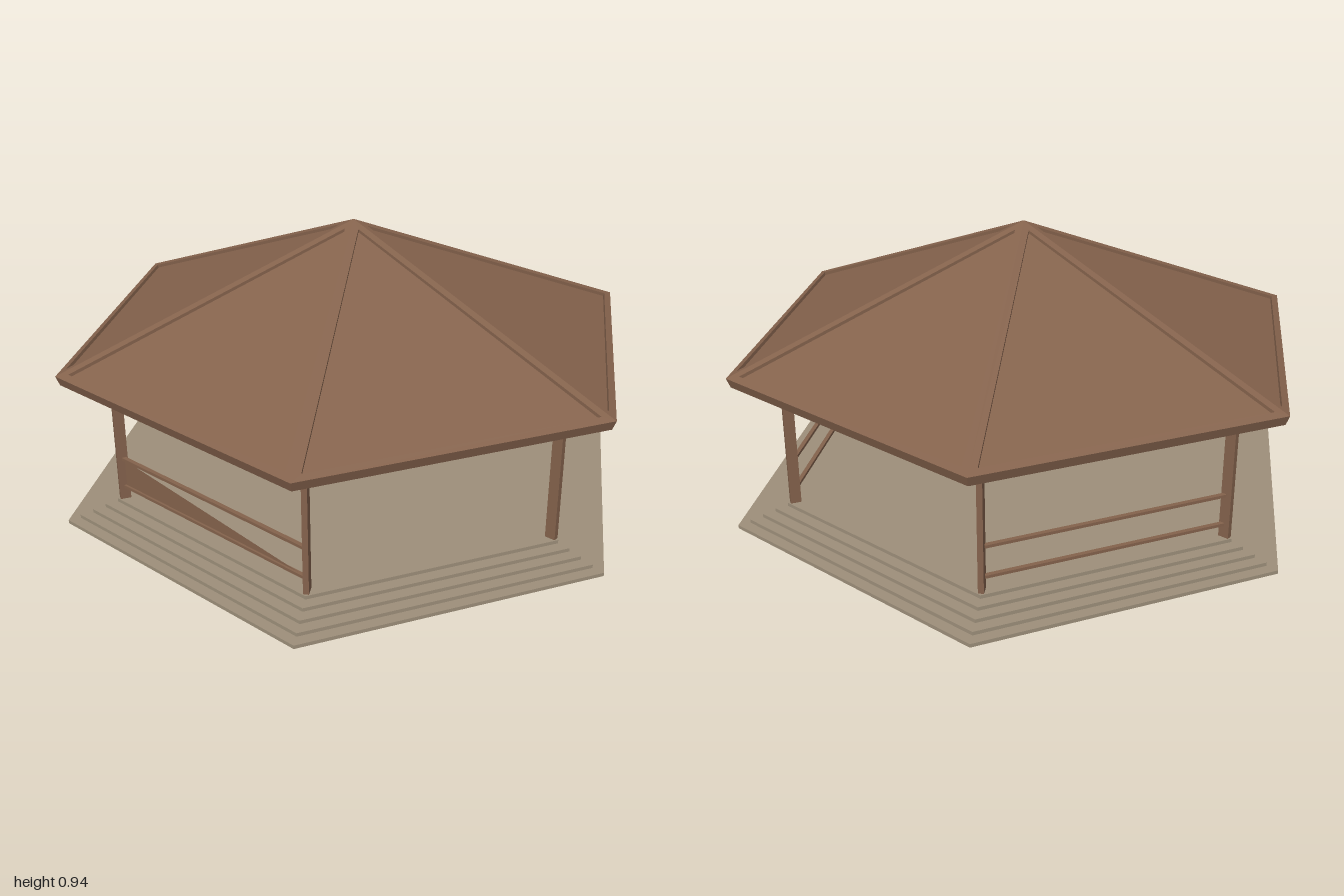
import * as THREE from 'three';

const wood = new THREE.MeshStandardMaterial({ color: 0x84624c });
wood.name = 'brownWood';
const stone = new THREE.MeshStandardMaterial({ color: 0x9d8f7a });
stone.name = 'paleDeck';
const thinWood = wood.clone();
thinWood.name = 'brownWood';
thinWood.side = THREE.DoubleSide;

const SIDE = Math.PI / 3;

function add(parent, name, geometry, material) {
  const mesh = new THREE.Mesh(geometry, material);
  mesh.name = name;
  parent.add(mesh);
  return mesh;
}

function polygon(points) {
  return points.map(([x, y]) => new THREE.Vector2(x, y));
}

function hexagon(r) {
  return polygon([0, 1, 2, 3, 4, 5].map(i => [r * Math.cos(i * SIDE), r * Math.sin(i * SIDE)]));
}

// Stepped hollow base: rings under a floor slab
function createBase() {
  const base = new THREE.Group();
  base.name = 'base';
  const radii = [1, 0.96, 0.918, 0.876, 0.834];
  const h = 0.012;
  radii.forEach((r, i) => {
    const shape = new THREE.Shape(hexagon(r));
    const isFloor = i === radii.length - 1;
    if (!isFloor) shape.holes.push(new THREE.Path(hexagon(radii[i + 1]).reverse()));
    const g = new THREE.ExtrudeGeometry(shape, { depth: h, bevelEnabled: false });
    g.rotateX(-Math.PI / 2).translate(0, i * h, 0);
    add(base, isFloor ? 'floor' : 'step' + (i + 1), g, stone);
  });
  return base;
}

const APEX = 0.935, EAVE_Z = 0.857, SLOPE = 0.464;

// Roof triangle in plan, moved in from the ridges and the eave
function sector(ridgeInset, eaveInset) {
  const z0 = ridgeInset * 2, z1 = EAVE_Z - eaveInset;
  const x = (z1 - z0) * Math.tan(Math.PI / 6);
  return polygon([[0, z0], [x, z1], [-x, z1]]);
}

// Extrudes a plan shape downwards, then tilts it to the roof pitch
function roofSlab(shape, top, depth) {
  const g = new THREE.ExtrudeGeometry(shape, { depth, bevelEnabled: false });
  g.rotateX(Math.PI / 2);
  const p = g.attributes.position;
  for (let i = 0; i < p.count; i++) {
    const y = p.getY(i) - top, z = p.getZ(i);
    const s = 1 + y * 0.38; // fascia leans inwards towards its foot
    p.setXYZ(i, p.getX(i) * s, APEX - SLOPE * z + y, z * s);
  }
  g.computeVertexNormals();
  return g;
}

function createRoof() {
  const roof = new THREE.Group();
  roof.name = 'roof';
  const frameShape = new THREE.Shape(sector(0, 0));
  frameShape.holes.push(new THREE.Path(sector(0.022, 0.022).reverse()));
  const frame = roofSlab(frameShape, 0, 0.032);
  const panel = roofSlab(new THREE.Shape(sector(0.01, 0.01)), 0.01, 0.008);
  for (let i = 0; i < 6; i++) {
    add(roof, 'roofFrame', frame, wood).rotation.y = i * SIDE;
    add(roof, 'roofPanel', panel, wood).rotation.y = i * SIDE;
  }
  return roof;
}

export function createModel() {
  const model = new THREE.Group();
  model.name = 'gazebo';
  model.add(createBase(), createRoof());

  // Posts, one below each ridge
  const postGeometry = new THREE.BoxGeometry(0.035, 0.54, 0.018);
  postGeometry.translate(0.808, 0.318, 0);
  for (let i = 0; i < 6; i++) add(model, 'post', postGeometry, wood).rotation.y = i * SIDE;

  // Railings on alternate sides
  const railGeometry = new THREE.BoxGeometry(0.79, 0.01, 0.014);
  for (let i = 0; i < 3; i++) {
    const railing = new THREE.Group();
    railing.name = 'railing';
    railing.rotation.y = i * 2 * SIDE;
    for (const y of [0.107, 0.21]) {
      add(railing, 'rail', railGeometry, wood).position.set(0, y, 0.7);
    }
    model.add(railing);
  }

  // Triangular infill in the front railing
  const infill = new THREE.Shape(polygon([[-0.39, 0.11], [0.39, 0.11], [-0.39, 0.205]]));
  add(model, 'railingInfill', new THREE.ShapeGeometry(infill), thinWood).position.z = 0.7;

  return model;
}
